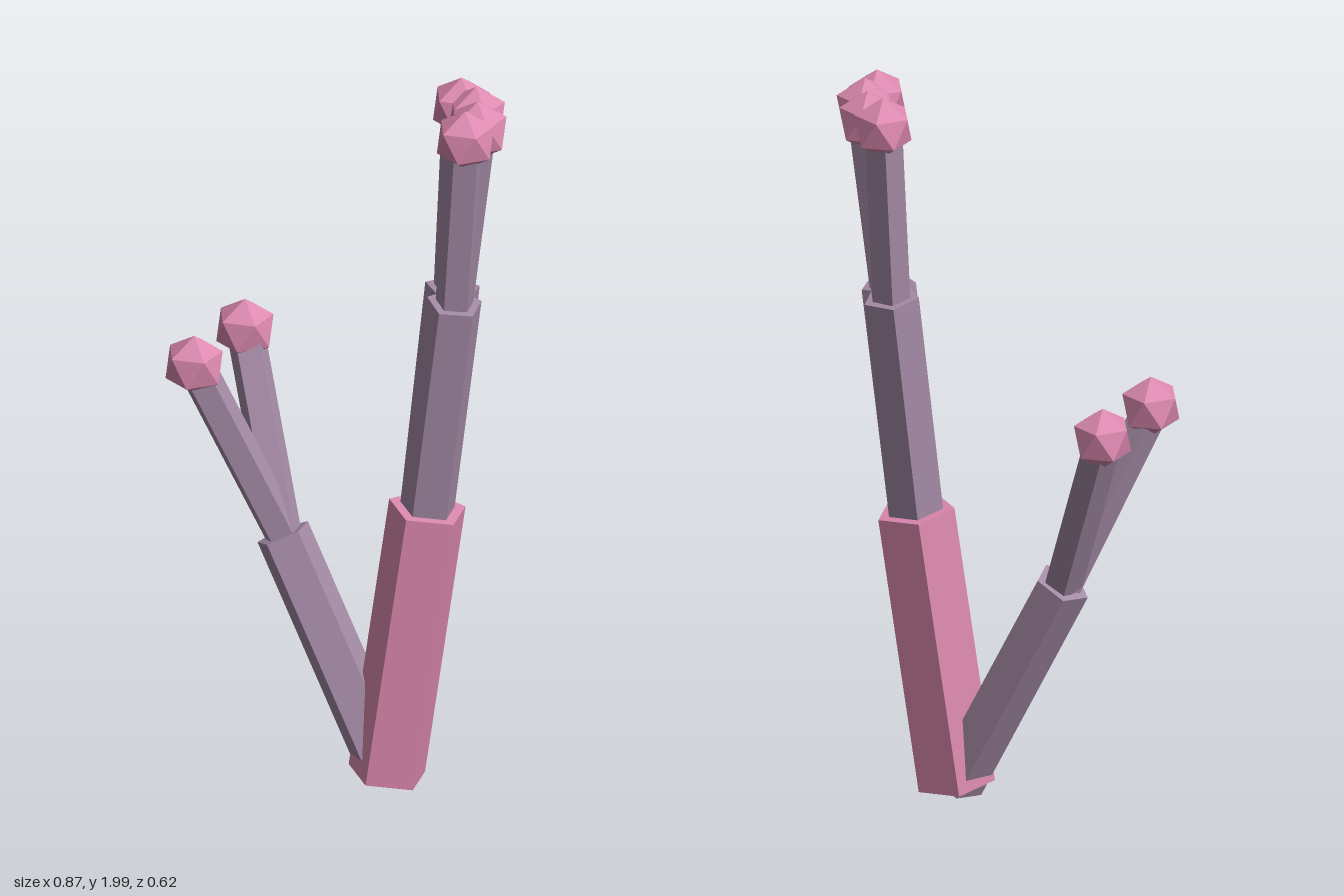
import * as THREE from 'three';

const v = (x, y, z) => new THREE.Vector3(x, y, z);
const UP = v(0, 1, 0);

export function createModel() {
  const model = new THREE.Group();
  model.name = 'branchingCoral';

  const pink = new THREE.MeshStandardMaterial({ color: 0xdd8ab0 });
  pink.name = 'pink';
  const mauve = new THREE.MeshStandardMaterial({ color: 0xa58ba6 });
  mauve.name = 'mauve';

  const flat = (geometry) => {
    const g = geometry.index ? geometry.toNonIndexed() : geometry;
    g.computeVertexNormals();
    return g;
  };

  // Five-sided stem running from one point to another, its ridge to the back
  function stem(name, from, to, radius, material) {
    const along = to.clone().sub(from);
    const geometry = new THREE.CylinderGeometry(radius, radius, along.length(), 5, 1, false, Math.PI);
    const mesh = new THREE.Mesh(flat(geometry), material);
    mesh.name = name;
    mesh.position.copy(from).add(to).multiplyScalar(0.5);
    mesh.quaternion.setFromUnitVectors(UP, along.normalize());
    model.add(mesh);
  }

  // Icosahedron standing on a vertex, for the bud on each twig
  const budGeometry = flat(new THREE.IcosahedronGeometry(0.083, 0)
    .rotateX(-Math.atan((1 + Math.sqrt(5)) / 2))
    .rotateY(Math.PI / 2));

  function twigs(from, tips) {
    for (const tip of tips) {
      stem('twig', from, tip, 0.0515, mauve);
      const bud = new THREE.Mesh(budGeometry, pink);
      bud.name = 'bud';
      bud.position.copy(tip);
      model.add(bud);
    }
  }

  // Trunk
  const root = v(0.13, 0.04, 0.142);
  const crown = v(0.235, 0.805, 0.142);
  stem('trunk', root, crown, 0.105, pink);

  // Low side branch with two twigs
  const fork = v(-0.133, 0.655, -0.03);
  stem('sideBranch', root, fork, 0.0745, mauve);
  twigs(fork, [v(-0.362, 1.147, -0.035), v(-0.22, 1.147, -0.242)]);

  // Two upper branches, front and back, each with two twigs
  for (const s of [1, -1]) {
    const end = v(0.302, 1.42, 0.143 + s * 0.047);
    stem('upperBranch', crown, end, 0.0745, mauve);
    twigs(end, [v(0.327, 1.917, 0.142 + s * 0.097), v(0.362, 1.917, 0.142 + s * 0.042)]);
  }
  return model;
}
